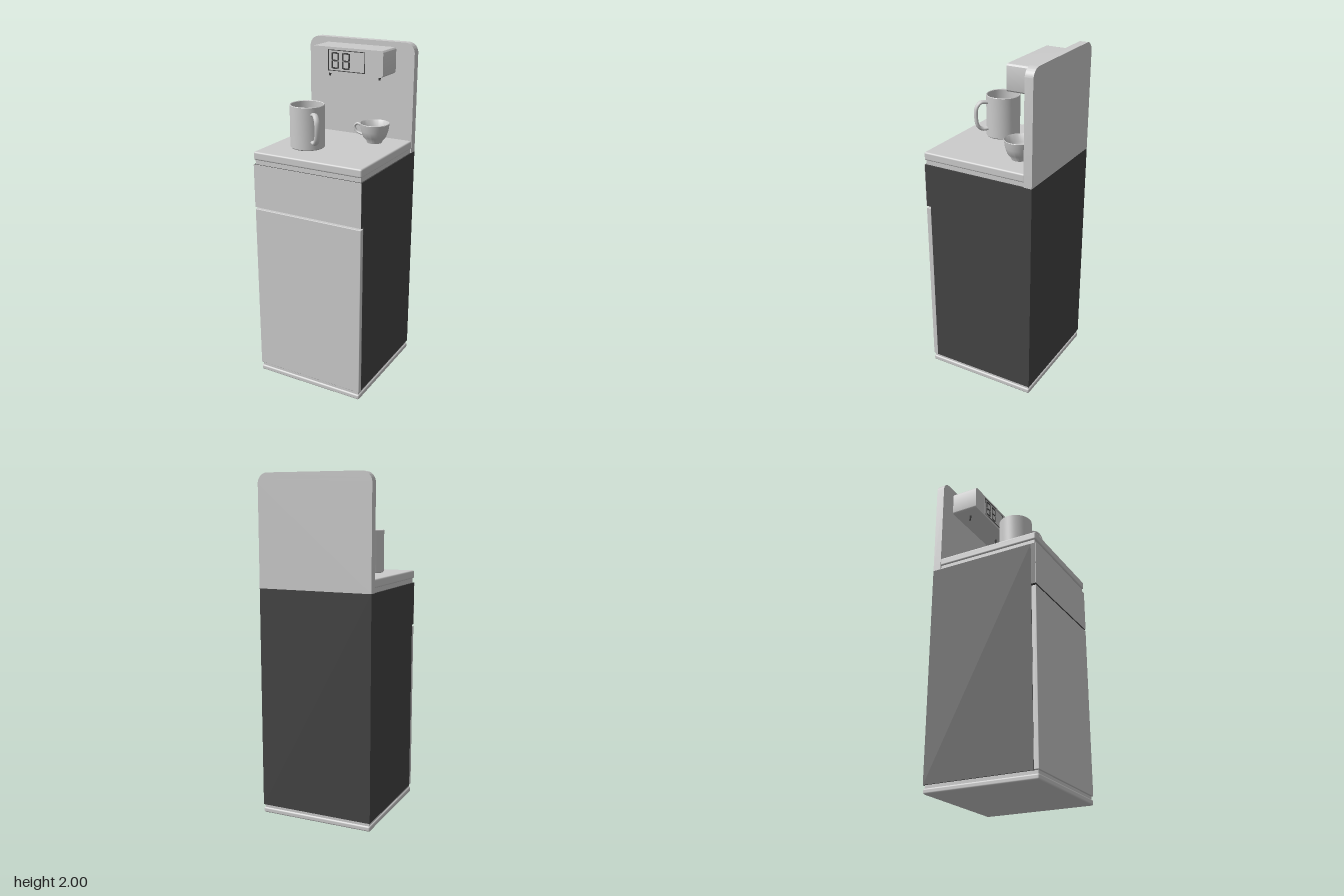
import * as THREE from 'three';
import { toCreasedNormals } from 'three/addons/utils/BufferGeometryUtils.js';
import { RoundedBoxGeometry } from 'three/addons/geometries/RoundedBoxGeometry.js';

const grey = new THREE.MeshStandardMaterial({ color: 0xcccccc });
const dark = new THREE.MeshStandardMaterial({ color: 0x444444 });

function add(parent, name, geometry, material = grey) {
  const mesh = new THREE.Mesh(geometry, material);
  mesh.name = name;
  parent.add(mesh);
  return mesh;
}

// Box given by its limits on each axis, with optional rounded edges
function block(parent, name, [x0, x1], [y0, y1], [z0, z1], material = grey, radius = 0) {
  const size = [x1 - x0, y1 - y0, z1 - z0];
  const geometry = radius ? new RoundedBoxGeometry(...size, 3, radius) : new THREE.BoxGeometry(...size);
  const mesh = add(parent, name, geometry, material);
  mesh.position.set((x0 + x1) / 2, (y0 + y1) / 2, (z0 + z1) / 2);
  return mesh;
}

// Upright panel with separate radii for its top and bottom corners
function panel(parent, name, [x0, x1], [y0, y1], [z0, z1], top, bottom) {
  const s = new THREE.Shape();
  s.moveTo(x0 + bottom, y0);
  s.lineTo(x1 - bottom, y0);
  if (bottom) s.absarc(x1 - bottom, y0 + bottom, bottom, -Math.PI / 2, 0);
  s.lineTo(x1, y1 - top);
  s.absarc(x1 - top, y1 - top, top, 0, Math.PI / 2);
  s.lineTo(x0 + top, y1);
  s.absarc(x0 + top, y1 - top, top, Math.PI / 2, Math.PI);
  s.lineTo(x0, y0 + bottom);
  if (bottom) s.absarc(x0 + bottom, y0 + bottom, bottom, Math.PI, Math.PI * 1.5);
  const geometry = new THREE.ExtrudeGeometry(s, { depth: z1 - z0, bevelEnabled: false, curveSegments: 10 });
  geometry.translate(0, 0, z0);
  return add(parent, name, toCreasedNormals(geometry, 0.6));
}

// Turned vessel with a looped handle that points along its own +x
function vessel(name, profile, handlePath, handleRadius, handleStretch) {
  const group = new THREE.Group();
  group.name = name;
  const lathe = new THREE.LatheGeometry(profile.map(p => new THREE.Vector2(...p)), 48);
  add(group, name + 'Bowl', toCreasedNormals(lathe, 0.7));
  const curve = new THREE.CatmullRomCurve3(handlePath.map(([x, y]) => new THREE.Vector3(x, y, 0)));
  const tube = new THREE.TubeGeometry(curve, 36, handleRadius, 12);
  tube.scale(1, 1, handleStretch);
  add(group, name + 'Handle', tube);
  return group;
}

// Seven bars of one indicator field
function indicator(parent, cx, cy, z) {
  const w = 0.05, h = 0.096, t = 0.009, gap = 0.003;
  for (const k of [-1, 0, 1]) {
    const y = cy + k * (h - t) / 2;
    block(parent, 'displayBar', [cx - w / 2 + t, cx + w / 2 - t], [y - t / 2, y + t / 2], [z, z + 0.002], dark);
  }
  for (const sx of [-1, 1]) for (const sy of [-1, 1]) {
    const x = cx + sx * (w - t) / 2, y = cy + sy * h / 4;
    block(parent, 'displayBar', [x - t / 2, x + t / 2], [y - h / 4 + gap, y + h / 4 - gap], [z, z + 0.002], dark);
  }
}

export function createModel() {
  const model = new THREE.Group();
  model.name = 'drinkDispenser';
  const W = 0.345, full = [-W, W];

  // Base and cabinet
  block(model, 'base', full, [0, 0.032], [-W, W], grey, 0.01);
  block(model, 'plinth', [-0.337, 0.337], [0.03, 0.05], [-0.337, 0.337]);
  block(model, 'cabinet', full, [0.05, 1.355], [-W, 0.315], dark);
  block(model, 'door', full, [0.052, 1.085], [0.315, W], grey, 0.003);
  block(model, 'drawer', full, [1.096, 1.355], [0.315, 0.342], dark);
  block(model, 'drawerFront', full, [1.096, 1.355], [0.342, W]);

  // Counter
  block(model, 'counterNeck', [-0.337, 0.337], [1.355, 1.384], [-0.295, 0.335]);
  block(model, 'counter', full, [1.381, 1.43], [-0.3, W], grey, 0.01);

  // Back panel and dispensing head
  panel(model, 'backPanel', full, [1.355, 2], [-W, -0.295], 0.06, 0);
  panel(model, 'dispenserHead', [-0.233, 0.229], [1.82, 1.97], [-0.295, -0.125], 0.015, 0.015);
  for (const x of [-0.16, 0.168]) {
    const nozzle = add(model, 'nozzle', new THREE.CylinderGeometry(0.008, 0.006, 0.034, 16), dark);
    nozzle.position.set(x, 1.805, -0.21);
  }

  // Display frame and indicator bars
  const display = new THREE.Group();
  display.name = 'display';
  model.add(display);
  const z = -0.125, x0 = -0.124, x1 = 0.116, y0 = 1.834, y1 = 1.955, t = 0.004;
  for (const y of [y0, y1 - t]) block(display, 'displayFrame', [x0, x1], [y, y + t], [z, z + 0.002], dark);
  for (const x of [x0, x1 - t]) block(display, 'displayFrame', [x, x + t], [y0, y1], [z, z + 0.002], dark);
  for (const x of [-0.077, -0.007]) indicator(display, x, 1.894, z);

  // Tall mug
  const mug = vessel('mug',
    [[0, 0], [0.094, 0], [0.1, 0.006], [0.1, 0.247], [0.097, 0.25], [0.093, 0.247], [0.091, 0.03], [0.08, 0.018], [0, 0.016]],
    [[0.095, 0.208], [0.138, 0.211], [0.164, 0.182], [0.168, 0.12], [0.156, 0.07], [0.13, 0.05], [0.095, 0.05]],
    0.011, 1.5);
  mug.position.set(-0.13, 1.43, 0.105);
  mug.rotation.y = -0.7;
  model.add(mug);

  // Small cup
  const cup = vessel('cup',
    [[0, 0], [0.045, 0], [0.047, 0.01], [0.068, 0.035], [0.08, 0.07], [0.087, 0.113], [0.085, 0.116], [0.082, 0.113],
      [0.075, 0.07], [0.062, 0.038], [0.04, 0.016], [0, 0.012]],
    [[0.081, 0.09], [0.112, 0.1], [0.132, 0.083], [0.12, 0.053], [0.067, 0.036]],
    0.007, 1.3);
  cup.position.set(0.163, 1.43, -0.169);
  cup.rotation.y = Math.PI;
  model.add(cup);

  return model;
}
